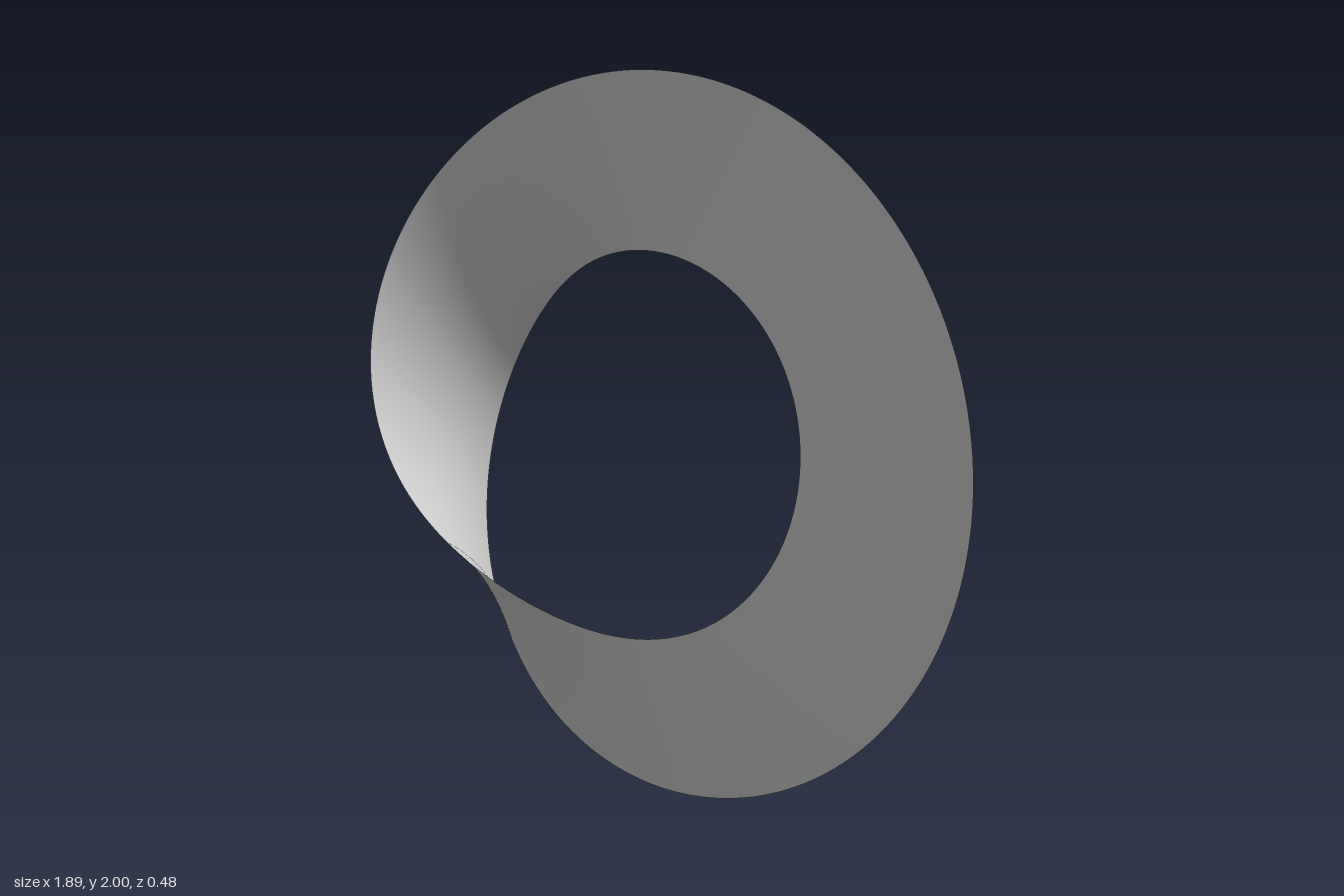
import * as THREE from 'three';
import { ParametricGeometry } from 'three/addons/geometries/ParametricGeometry.js';

const HALF_WIDTH = 0.24;

// Point on a half-twisted band: s runs round the loop, t runs across the width
function bandPoint(s, t, target) {
  const u = s * Math.PI * 2;
  // the half turn is gathered on the -x side, the rest lies nearly flat
  const twist = u / 2 - 0.56 * Math.sin(u) + 0.1 * Math.sin(2 * u) - 0.03;
  const offset = (t * 2 - 1) * HALF_WIDTH;
  const radial = offset * Math.cos(twist);
  target.set(
    -0.085 + (0.797 + radial) * Math.cos(u),
    1 + (0.765 + radial) * Math.sin(u),
    offset * Math.sin(twist)
  );
}

export function createModel() {
  const model = new THREE.Group();
  model.name = 'twistedLoop';

  // Single-sided band, open along its edge
  const band = new THREE.Mesh(
    new ParametricGeometry(bandPoint, 240, 16),
    new THREE.MeshStandardMaterial({ color: 0xcccccc, side: THREE.DoubleSide })
  );
  band.name = 'twistedBand';
  model.add(band);
  return model;
}
